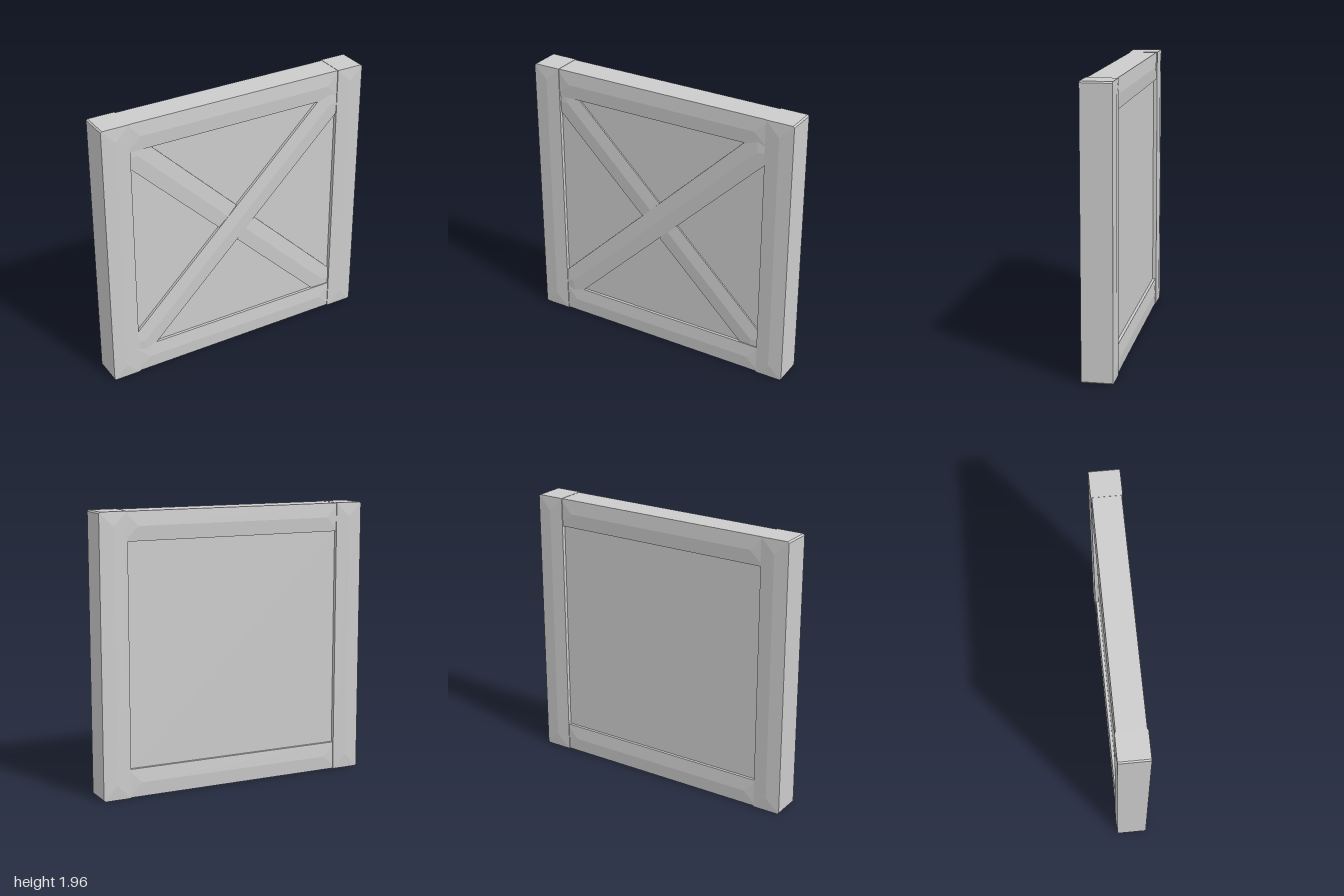
import * as THREE from 'three';
import { ConvexGeometry } from 'three/addons/geometries/ConvexGeometry.js';

const HEIGHT = 1.955;
const MID = HEIGHT / 2;
const material = new THREE.MeshStandardMaterial({ color: 0xcccccc, flatShading: true });

// Beam along x whose broad faces rise to a shallow hipped ridge.
// chamfer cuts the two corners on the +y edge.
function beam(name, length, width, back, front, { rise = 0.008, backRise = rise, chamfer = 0 } = {}) {
  const l = length / 2, w = width / 2, hip = w;
  const outline = [[-l, -w], [l, -w]];
  if (chamfer) {
    outline.push([l, w - chamfer], [l - chamfer, w], [-l + chamfer, w], [-l, w - chamfer]);
  } else {
    outline.push([l, w], [-l, w]);
  }
  const points = [];
  for (const [x, y] of outline) {
    points.push(new THREE.Vector3(x, y, back), new THREE.Vector3(x, y, front));
  }
  for (const s of [-1, 1]) {
    points.push(new THREE.Vector3(s * (l - hip), 0, front + rise));
    if (backRise) points.push(new THREE.Vector3(s * (l - hip), 0, back - backRise));
  }
  const mesh = new THREE.Mesh(new ConvexGeometry(points), material);
  mesh.name = name;
  return mesh;
}

export function createModel() {
  const group = new THREE.Group();
  group.name = 'bracedPanel';

  // Recessed infill panel
  const panel = new THREE.Mesh(new THREE.BoxGeometry(1.64, 1.6, 0.156), material);
  panel.name = 'panel';
  panel.position.y = MID;
  group.add(panel);

  // Side posts, chamfered at their outer corners
  for (const s of [-1, 1]) {
    const post = beam(s > 0 ? 'leftPost' : 'rightPost', HEIGHT, 0.2, -0.105, 0.105, { chamfer: 0.01 });
    post.rotation.z = -s * Math.PI / 2;
    post.position.set(s * 0.9, MID, 0);
    group.add(post);
  }

  // Top and bottom rails, tucked into the posts
  for (const s of [-1, 1]) {
    const rail = beam(s > 0 ? 'topRail' : 'bottomRail', 1.64, 0.2, -0.098, 0.098);
    rail.position.y = MID + s * (MID - 0.102);
    group.add(rail);
  }

  // Crossed braces on the front only; the rising one lies over the other
  for (const s of [-1, 1]) {
    const front = s > 0 ? 0.097 : 0.088;
    const brace = beam(s > 0 ? 'upperBrace' : 'lowerBrace', 2.28, 0.197, 0, front, { backRise: 0 });
    brace.rotation.z = s * Math.atan2(1.42, 1.45);
    brace.position.y = MID + 0.005;
    group.add(brace);
  }

  return group;
}
